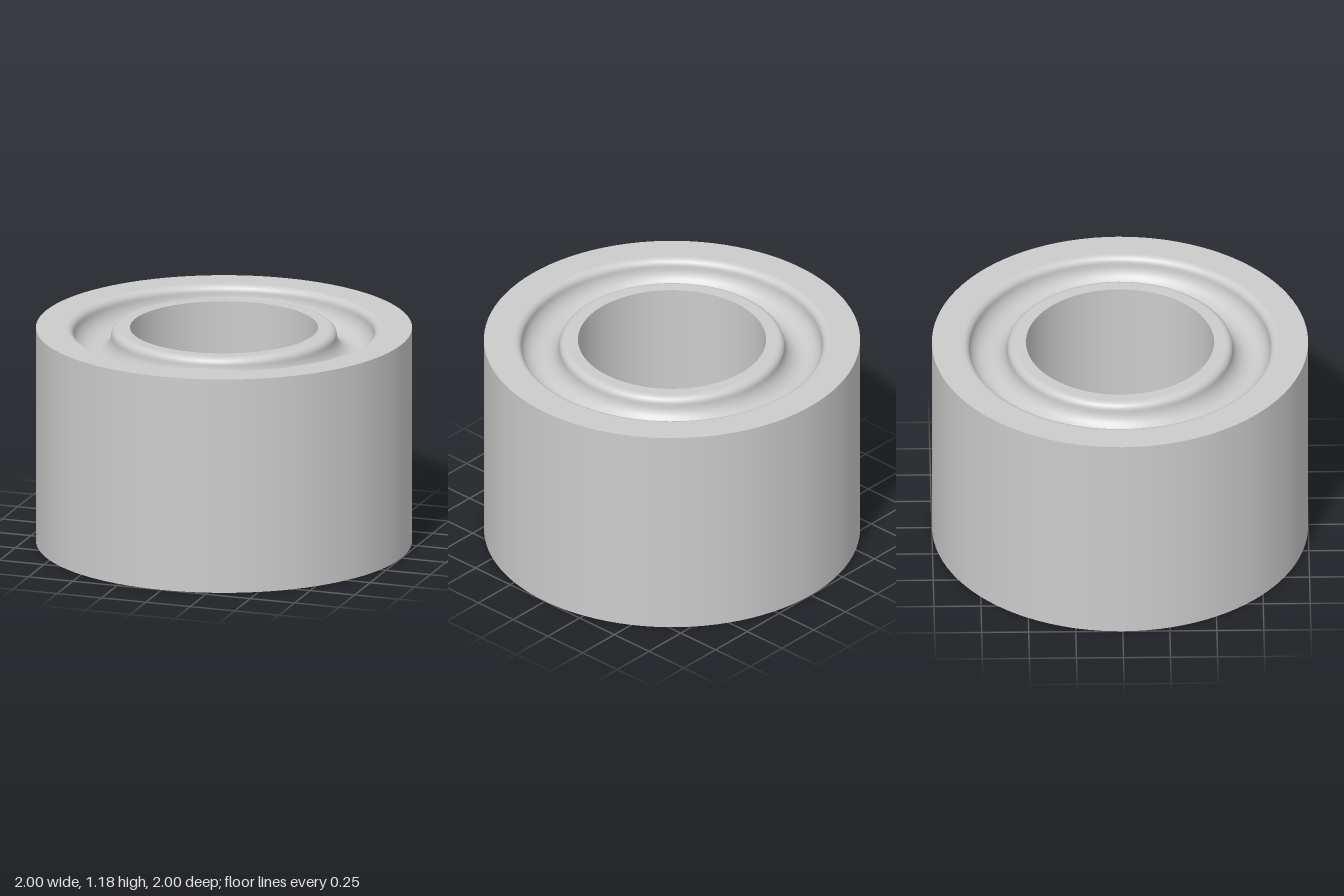
import * as THREE from 'three';

const H = 1.18, R_OUT = 1, R_IN = 0.5, SEGMENTS = 96;
const MID = 0.7, GROOVE = 0.1, FILLET = 0.04;

// Arc points around (cx, cy) from angle a to angle b
function arc(cx, cy, r, a, b, n) {
  return Array.from({ length: n + 1 }, (_, i) => {
    const t = a + (b - a) * i / n;
    return new THREE.Vector2(cx + r * Math.cos(t), cy + r * Math.sin(t));
  });
}

// End face profile, outer edge to bore: flat, rounded lip, half-round groove, lip, flat
function topProfile() {
  const y = H - FILLET, off = GROOVE + FILLET, P = Math.PI;
  return [
    new THREE.Vector2(R_OUT, H),
    new THREE.Vector2(MID + off + 0.005, H),
    ...arc(MID + off, y, FILLET, P / 2, P, 8),
    ...arc(MID, y, GROOVE, 0, -P, 24).slice(1),
    ...arc(MID - off, y, FILLET, 0, P / 2, 8).slice(1),
    new THREE.Vector2(MID - off - 0.005, H),
    new THREE.Vector2(R_IN, H),
  ];
}

export function createModel() {
  const group = new THREE.Group();
  group.name = 'groovedRing';
  const metal = new THREE.MeshStandardMaterial({ color: 0xcccccc });
  metal.name = 'light grey metal';

  const addLathe = (name, points) => {
    const mesh = new THREE.Mesh(new THREE.LatheGeometry(points, SEGMENTS), metal);
    mesh.name = name;
    group.add(mesh);
  };

  // Separate surfaces keep the rim edges sharp
  const top = topProfile();
  const bottom = top.map(p => new THREE.Vector2(p.x, H - p.y)).reverse();
  addLathe('outerWall', [new THREE.Vector2(R_OUT, 0), new THREE.Vector2(R_OUT, H)]);
  addLathe('boreWall', [new THREE.Vector2(R_IN, H), new THREE.Vector2(R_IN, 0)]);
  addLathe('topFace', top);
  addLathe('bottomFace', bottom);
  return group;
}
